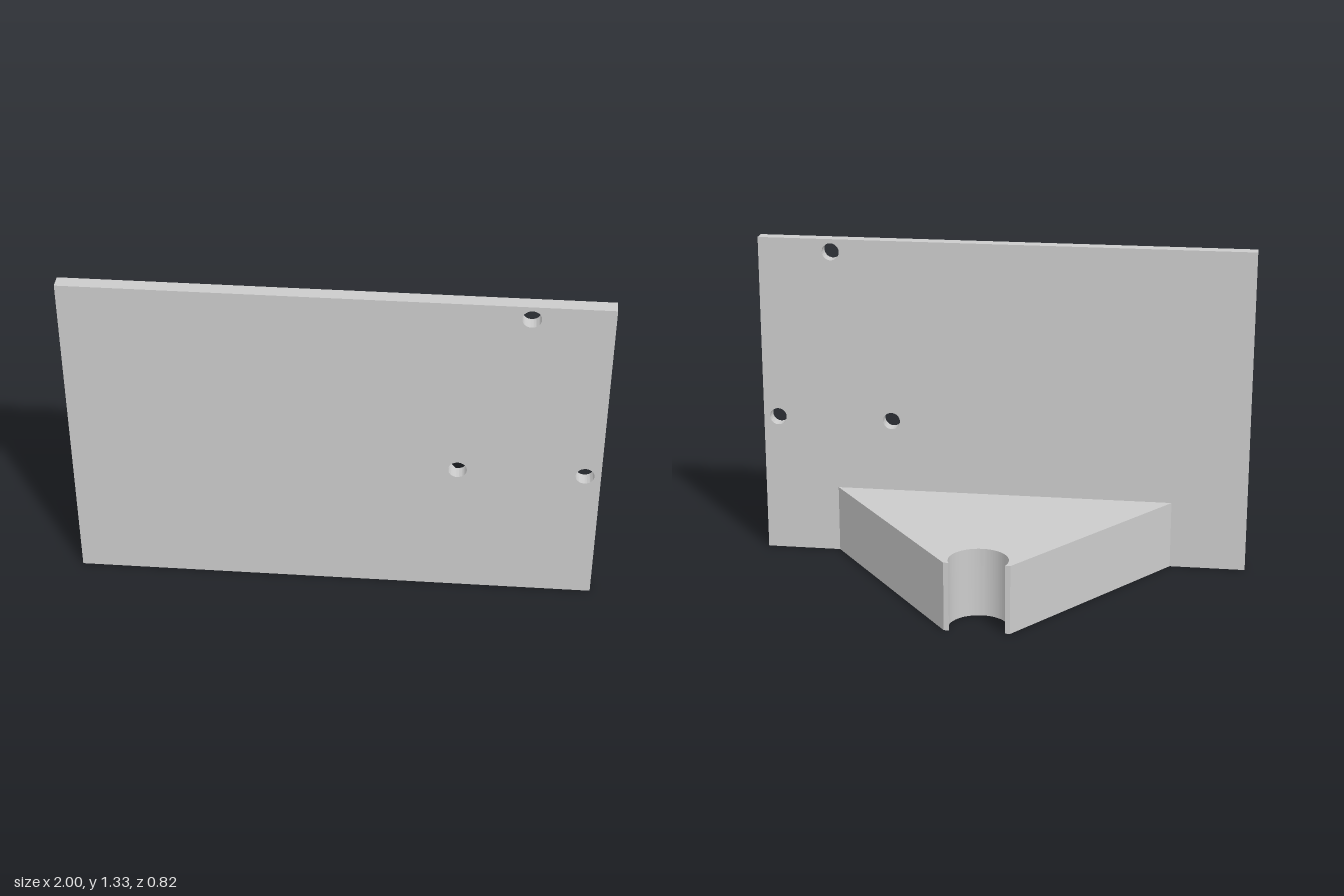
import * as THREE from 'three';
import { toCreasedNormals } from 'three/addons/utils/BufferGeometryUtils.js';

const WIDTH = 2, HEIGHT = 1.334;
const FRONT = 0.408, PLATE_BACK = 0.355, BACK = -0.408;
const BRACKET_HEIGHT = 0.278;

function extrude(shape, depth) {
  const geometry = new THREE.ExtrudeGeometry(shape, { depth, bevelEnabled: false, curveSegments: 40 });
  return toCreasedNormals(geometry, Math.PI / 6);
}

// Upright plate with three round screw holes
function plateGeometry() {
  const w = WIDTH / 2;
  const shape = new THREE.Shape();
  shape.moveTo(-w, 0).lineTo(w, 0).lineTo(w, HEIGHT).lineTo(-w, HEIGHT).closePath();
  for (const [x, y] of [[0.703, 1.282], [0.464, 0.578], [0.94, 0.578]]) {
    shape.holes.push(new THREE.Path().absarc(x, y, 0.035, 0, Math.PI * 2, true));
  }
  return extrude(shape, FRONT - PLATE_BACK).translate(0, 0, PLATE_BACK);
}

// Tapered bracket with an open round socket at its tip, drawn in plan (shape y = -z)
function bracketGeometry() {
  const radius = 0.116, centre = 0.365, tip = -BACK;
  const open = Math.asin((tip - centre) / radius);
  const shape = new THREE.Shape();
  shape.moveTo(-0.693, -PLATE_BACK).lineTo(0.693, -PLATE_BACK).lineTo(0.128, tip);
  shape.lineTo(radius * Math.cos(open), tip);
  shape.absarc(0, centre, radius, open, Math.PI - open, true);
  shape.lineTo(-0.128, tip).closePath();
  return extrude(shape, BRACKET_HEIGHT).rotateX(-Math.PI / 2);
}

export function createModel() {
  const group = new THREE.Group();
  const material = new THREE.MeshStandardMaterial({ color: 0xcccccc });
  const parts = { mountingPlate: plateGeometry(), socketBracket: bracketGeometry() };
  for (const [name, geometry] of Object.entries(parts)) {
    const mesh = new THREE.Mesh(geometry, material);
    mesh.name = name;
    group.add(mesh);
  }
  return group;
}
